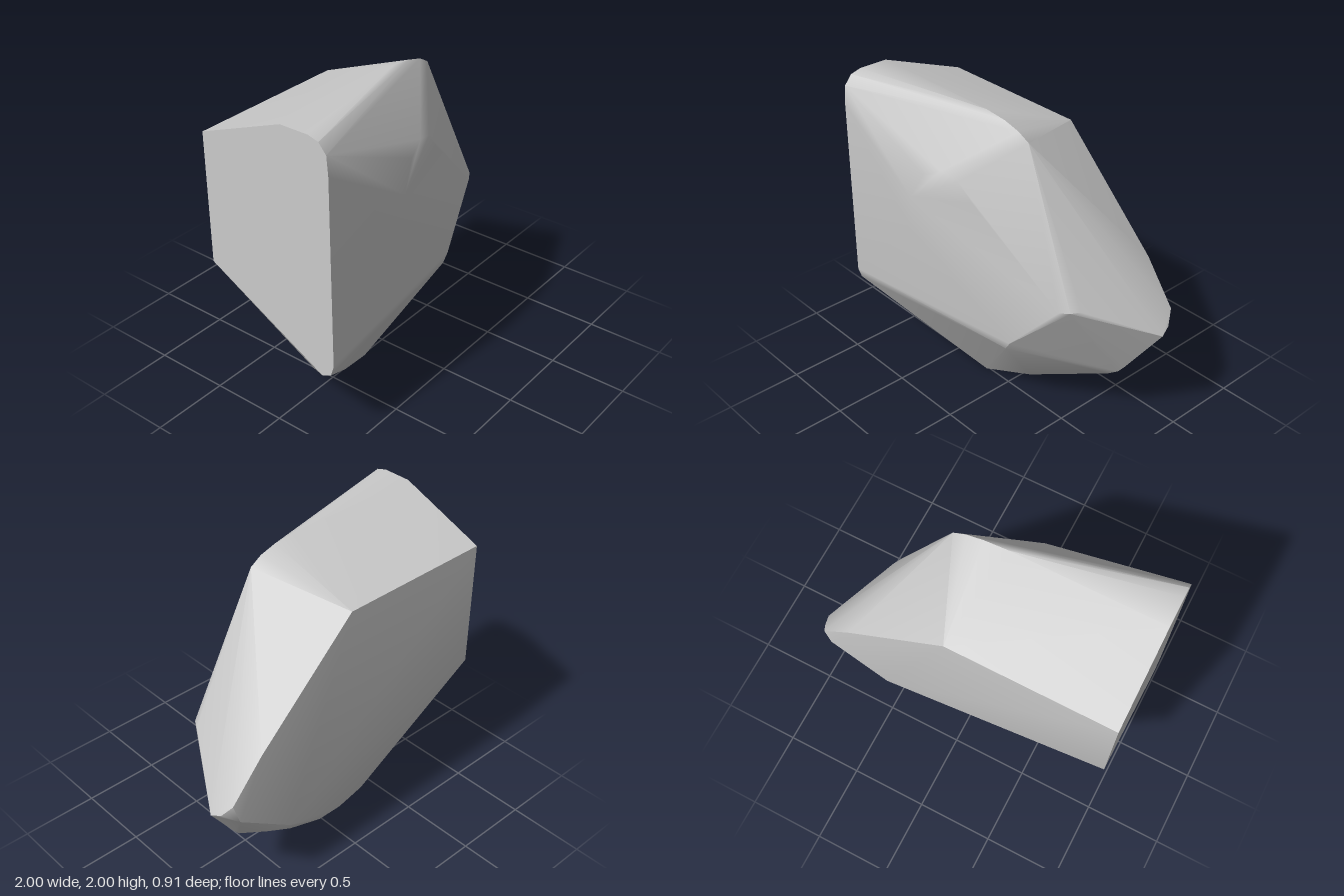
import * as THREE from 'three';
import { ConvexGeometry } from 'three/addons/geometries/ConvexGeometry.js';

const stone = new THREE.MeshStandardMaterial({ color: 0xcacaca });
stone.name = 'grey stone';

// Corners of each cut facet; worn edges get two or three corners in a row
const facets = {
  leftCut: [[-1, 1.78, -0.46], [-1, 2, 0.12], [-1, 2, 0.31], [-1, 1.98, 0.38], [-1, 1.92, 0.43],
    [-1, 1.8, 0.44], [-1, 0.6, 0.443], [-1, 0.53, 0.42], [-1, 0.5, 0.36], [-1, 0.94, -0.46]],
  topRidge: [[-0.05, 2, 0.12], [0.1, 1.985, 0.118], [0.21, 1.955, 0.115], [0.29, 1.91, 0.11]],
  frontPanel: [[-0.39, 1.2, 0.453], [-0.37, 1.42, 0.45], [-0.27, 1.6, 0.422], [-0.15, 1.66, 0.392],
    [-0.03, 1.63, 0.363], [0.07, 1.52, 0.34], [0.65, 0.99, 0.2], [0.32, 0.63, 0.28], [0.28, 0.57, 0.275]],
  rightCorner: [[0.71, 1, 0.165], [0.74, 1, 0.11], [0.98, 0.79, -0.31], [1, 0.76, -0.32], [0.98, 0.79, -0.39]],
  backFace: [[0.05, 1.78, -0.46], [0.73, 1.13, -0.46], [0.94, 0.87, -0.45], [0.9, 0.74, -0.46],
    [0.52, 0.47, -0.46], [0.64, 0.44, -0.38], [0.45, 0.34, -0.38]],
  lowerRight: [[0.78, 0.44, -0.25], [0.74, 0.39, -0.24], [0.68, 0.35, -0.22]],
  base: [[-0.61, 0.11, -0.06], [-0.52, 0.05, -0.02], [-0.52, 0.058, -0.13], [-0.4, 0.012, 0.02], [-0.2, 0, 0.015],
    [-0.3, 0.003, -0.1], [0.07, 0.03, -0.13], [0.04, 0.035, -0.21], [-0.15, 0.02, -0.2], [-0.38, 0.03, -0.17]],
};

// Smooth normals weighted by face area, so broad facets stay flat; edges above the angle stay sharp
function shadeFacets(geometry, angle) {
  const position = geometry.attributes.position;
  const corners = Array.from({ length: position.count }, (_, i) => new THREE.Vector3().fromBufferAttribute(position, i));
  const faces = corners.map((_, i) => {
    const [a, b, c] = corners.slice(i - (i % 3), i - (i % 3) + 3);
    return b.clone().sub(a).cross(c.clone().sub(a));
  });
  corners.forEach((corner, i) => {
    const normal = new THREE.Vector3();
    corners.forEach((other, j) => {
      if (other.distanceTo(corner) < 1e-5 && faces[i].angleTo(faces[j]) <= angle) normal.add(faces[j]);
    });
    geometry.attributes.normal.setXYZ(i, ...normal.normalize());
  });
  return geometry;
}

export function createModel() {
  const points = Object.values(facets).flat().map((p) => new THREE.Vector3(...p));
  const rock = new THREE.Mesh(shadeFacets(new ConvexGeometry(points), 0.57), stone);
  rock.name = 'rock';
  const group = new THREE.Group();
  group.name = 'boulder';
  group.add(rock);
  return group;
}
